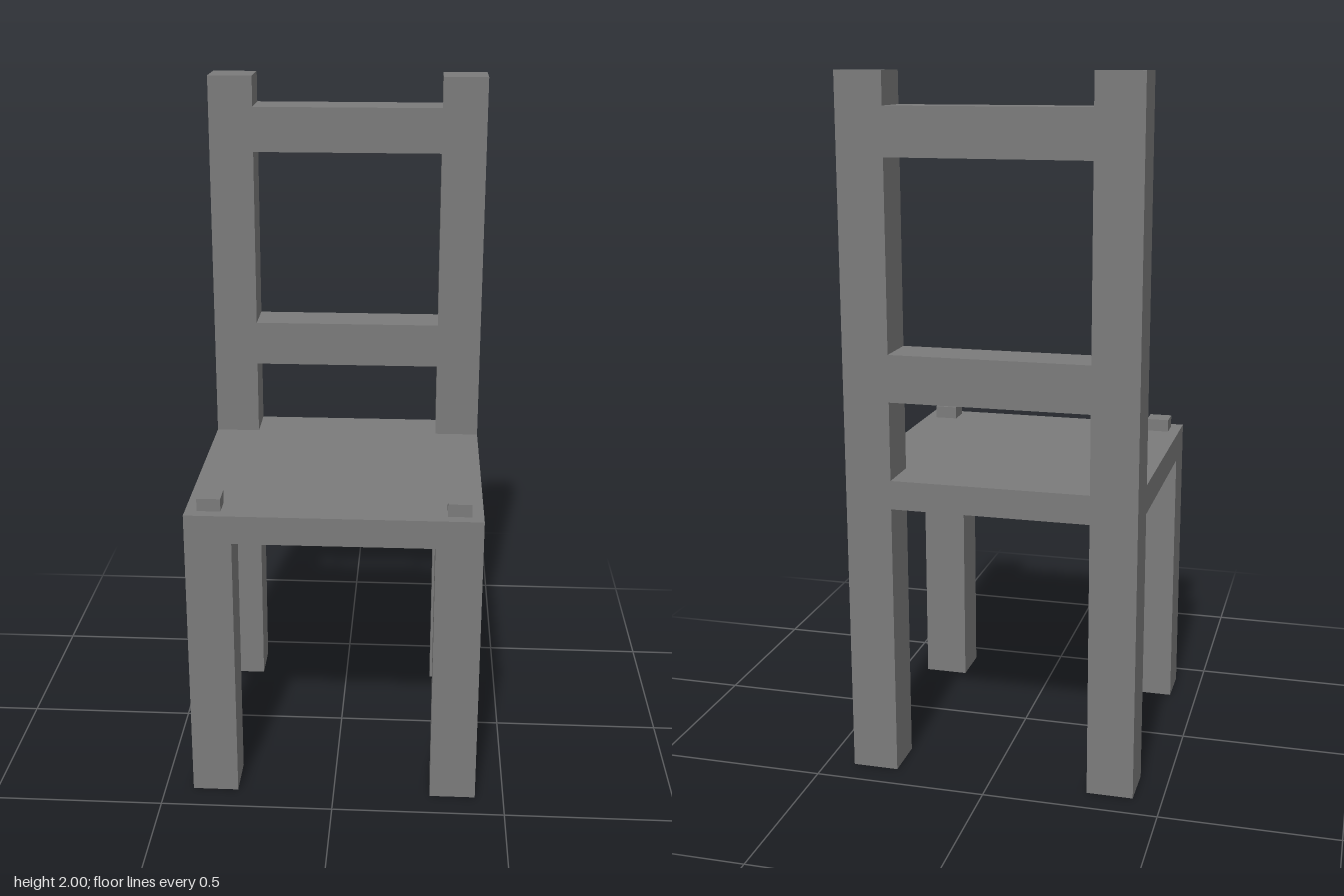
import * as THREE from 'three';

const HALF = 0.417;        // half of the square footprint
const POST = 0.133;        // thickness of legs and posts
const INNER = HALF - POST; // inner face of legs and posts
const MID = HALF - POST / 2;
const SEAT_BOTTOM = 0.8;
const SEAT_TOP = 0.883;

export function createModel() {
  const chair = new THREE.Group();
  chair.name = 'chair';
  const material = new THREE.MeshStandardMaterial({ color: 0x7b7b7b, flatShading: true });

  function add(name, geometry) {
    const mesh = new THREE.Mesh(geometry, material);
    mesh.name = name;
    chair.add(mesh);
    return mesh;
  }

  // Box placed by its centre in x and z, and by its bottom and top in y
  function addBox(name, width, depth, bottom, top, x, z) {
    add(name, new THREE.BoxGeometry(width, top - bottom, depth))
      .position.set(x, (bottom + top) / 2, z);
  }

  // Legs, back posts and the small pegs on the front seat corners
  for (const [side, s] of [['left', 1], ['right', -1]]) {
    addBox(side + 'FrontLeg', POST, POST, 0, SEAT_BOTTOM, s * MID, MID);
    addBox(side + 'BackPost', POST, POST, 0, 2, s * MID, -MID);
    addBox(side + 'Peg', 0.067, 0.067, SEAT_TOP, 0.92, s * 0.35, 0.35);
  }

  // Seat panel, notched at the back around the posts
  const outline = new THREE.Shape([
    [-HALF, -HALF], [HALF, -HALF], [HALF, INNER], [INNER, INNER],
    [INNER, HALF], [-INNER, HALF], [-INNER, INNER], [-HALF, INNER],
  ].map(([x, y]) => new THREE.Vector2(x, y)));
  const seat = new THREE.ExtrudeGeometry(outline, { depth: SEAT_TOP - SEAT_BOTTOM, bevelEnabled: false });
  seat.rotateX(-Math.PI / 2);
  add('seat', seat).position.y = SEAT_BOTTOM;

  // Cross rails of the backrest
  addBox('lowerBackRail', INNER * 2, POST, 1.108, 1.242, 0, -MID);
  addBox('upperBackRail', INNER * 2, POST, 1.775, 1.909, 0, -MID);

  return chair;
}
